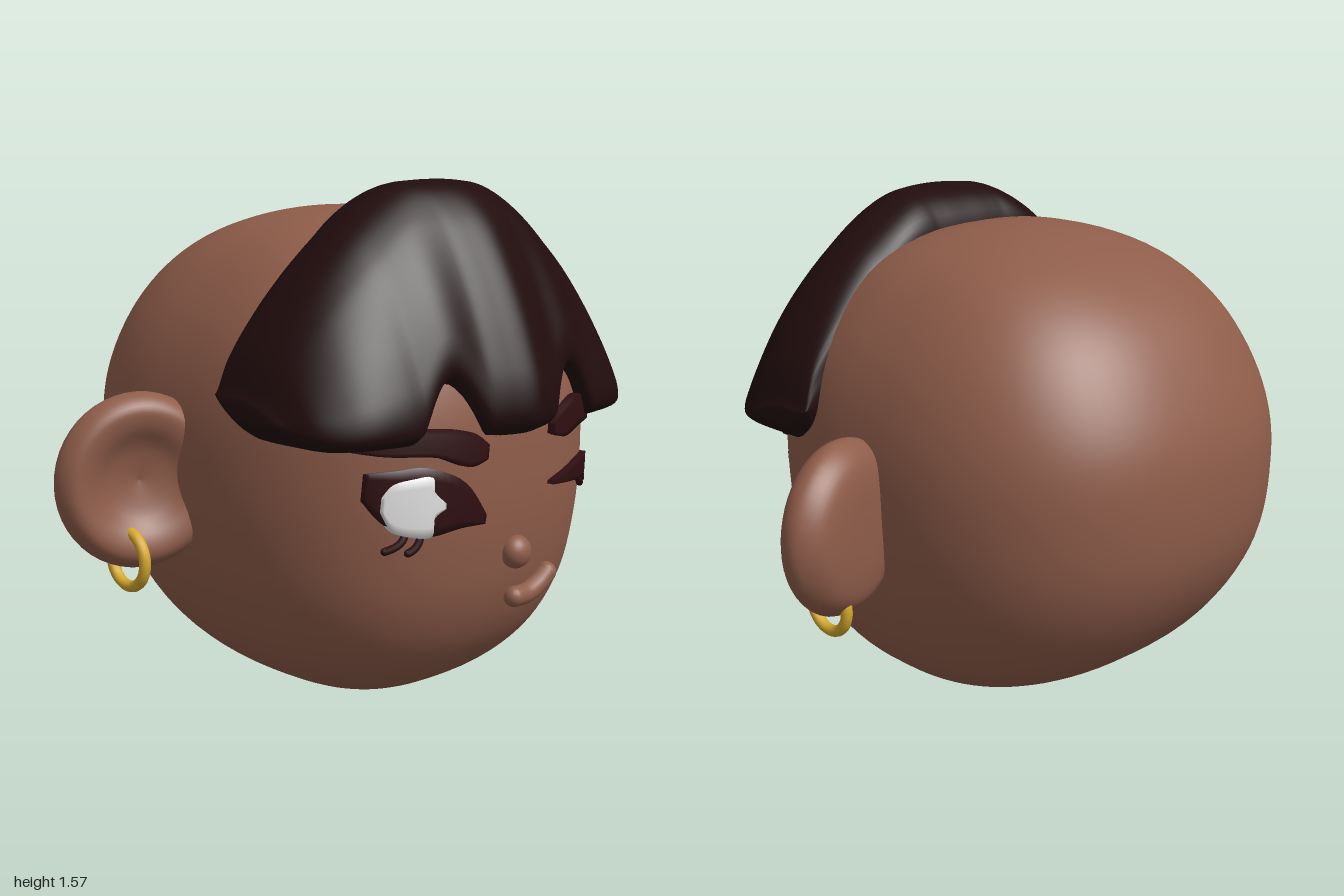
import * as THREE from 'three';

const mat = (name, color) => {
  const m = new THREE.MeshStandardMaterial({ color });
  m.name = name;
  return m;
};
const V3 = (x, y, z) => new THREE.Vector3(x, y, z);

// Skin over rows of points; closed rows wrap round.
function loft(rows, closed) {
  const n = rows[0].length, idx = [];
  for (let i = 0; i < rows.length - 1; i++) {
    for (let j = 0; j < (closed ? n : n - 1); j++) {
      const k = (j + 1) % n, a = i * n + j, b = a + n, c = i * n + k, d = c + n;
      idx.push(a, b, c, c, b, d);
    }
  }
  const g = new THREE.BufferGeometry();
  g.setAttribute('position', new THREE.Float32BufferAttribute(rows.flat().flatMap((p) => [p.x, p.y, p.z]), 3));
  g.setIndex(idx);
  g.computeVertexNormals();
  return g;
}

// Head: half width, front z and back z at every 15 degrees from chin to crown.
const HALF_H = 0.745, POWER = 2.5;
const headCurve = new THREE.CatmullRomCurve3([
  [0, 0.13, 0.13], [0.215, 0.305, -0.06], [0.39, 0.455, -0.305], [0.52, 0.578, -0.51],
  [0.605, 0.655, -0.655], [0.652, 0.69, -0.75], [0.672, 0.7, -0.78], [0.664, 0.69, -0.767],
  [0.615, 0.63, -0.695], [0.522, 0.52, -0.585], [0.395, 0.37, -0.425], [0.215, 0.18, -0.225], [0, -0.02, -0.02],
].map((p) => V3(...p)), false, 'catmullrom');

function headSection(t) {
  const p = headCurve.getPoint(t);
  return { w: Math.max(p.x, 0), zc: (p.y + p.z) / 2, d: (p.y - p.z) / 2, y: HALF_H * (1 - Math.cos(t * Math.PI)) };
}

function headGeometry() {
  const rows = [], pw = (v) => Math.sign(v) * Math.abs(v) ** (2 / POWER);
  for (let i = 0; i <= 60; i++) {
    const s = headSection(i / 60), row = [];
    for (let j = 0; j < 80; j++) {
      const a = (j / 80) * Math.PI * 2;
      row.push(V3(s.w * pw(Math.cos(a)), s.y, s.zc + s.d * pw(Math.sin(a))));
    }
    rows.push(row);
  }
  return loft(rows, true);
}

// Front surface of the head at x, y
function faceZ(x, y) {
  const s = headSection(Math.acos(1 - y / HALF_H) / Math.PI);
  return s.zc + s.d * Math.max(0, 1 - (Math.abs(x) / s.w) ** POWER) ** (1 / POWER);
}

// Raised patch draped on the face between a lower and an upper edge (both run towards +x).
function facePatch(lower, upper, lift) {
  const curve = (pts) => new THREE.SplineCurve(pts.map((p) => new THREE.Vector2(...p)));
  const lo = curve(lower), up = curve(upper), rows = [], nu = 20, nv = 6;
  for (let i = -1; i <= nu + 1; i++) {
    const u = THREE.MathUtils.clamp(i / nu, 0, 1), a = lo.getPoint(u), b = up.getPoint(u), row = [];
    for (let j = -1; j <= nv + 1; j++) {
      const p = a.clone().lerp(b, THREE.MathUtils.clamp(j / nv, 0, 1));
      const rim = i < 0 || j < 0 || i > nu || j > nv;
      row.push(V3(p.x, p.y, faceZ(p.x, p.y) + (rim ? -0.01 : lift)));
    }
    rows.push(row);
  }
  return loft(rows, false);
}

// Hair: upright slices from left to right, each a rounded side profile with a scalloped fringe.
function hairGeometry() {
  const half = [[0.684, 0.99, 0.46], [0.643, 1.115, 0.56], [0.555, 1.25, 0.64], [0.435, 1.38, 0.68],
    [0.3, 1.487, 0.695], [0.18, 1.55, 0.715], [0.09, 1.563, 0.75]];
  const ribs = new THREE.CatmullRomCurve3(
    [...half, [0, 1.566, 0.775], ...half.map(([x, y, z]) => [-x, y, z]).reverse()].map((p) => V3(...p)));
  const profile = new THREE.CatmullRomCurve3([
    [0.12, 0], [0.03, 0.04], [-0.01, 0.15], [-0.02, 0.4], [-0.005, 0.65], [0.03, 0.86], [0.13, 0.96], [0.32, 1],
    [0.47, 0.965], [0.61, 0.865], [0.7, 0.76], [0.82, 0.57], [0.925, 0.36], [0.99, 0.18], [0.99, 0.06],
    [0.9, 0], [0.5, -0.02],
  ].map(([z, y]) => V3(0, y, z)), true).getPoints(68).slice(0, -1);
  const notch = (x, c) => (Math.abs(x - c) < 0.115 ? Math.cos(((x - c) / 0.115) * Math.PI / 2) ** 1.1 : 0);
  const slice = (r, x, shrink) => {
    const k = notch(r.x, -0.26) + notch(r.x, 0.25), front = r.z - 0.015 * k;
    const bottom = 0.86 + 0.155 * k + 0.05 * Math.max(0, (Math.abs(r.x) - 0.58) / 0.1) ** 2;
    const mid = V3(x, (bottom + r.y) / 2, (0.19 + front) / 2);
    return profile.map((p) => {
      const z = 0.19 + p.z * (front - 0.19);
      const corner = 0.07 * THREE.MathUtils.clamp(1 - (z - 0.18) / 0.13, 0, 1) ** 2 * (1 - p.y);
      return V3(x, bottom + p.y * (r.y - bottom) + corner, z).lerp(mid, 1 - shrink);
    });
  };
  const rows = [], first = ribs.getPoint(0), last = ribs.getPoint(1);
  rows.push(slice(first, 0.694, 0), slice(first, 0.693, 0.6), slice(first, 0.69, 0.88));
  for (let i = 0; i <= 100; i++) {
    const r = ribs.getPoint(i / 100);
    rows.push(slice(r, r.x, 1));
  }
  rows.push(slice(last, -0.69, 0.88), slice(last, -0.693, 0.6), slice(last, -0.694, 0));
  return loft(rows, true);
}

export function createModel() {
  const model = new THREE.Group();
  model.name = 'head';
  const skin = mat('skin', 0x8f5d4a), hair = mat('hair', 0x210c0d), lash = mat('browAndLash', 0x2e0e10);
  const white = mat('eyeWhite', 0xe6e6e6), gold = mat('gold', 0xd4a72c);
  const add = (name, geometry, material, parent = model) => {
    const m = new THREE.Mesh(geometry, material);
    m.name = name;
    parent.add(m);
    return m;
  };

  add('skull', headGeometry(), skin);
  add('hair', hairGeometry(), hair);

  // Ears: thick, shallow dished discs swept back, each with a hoop
  const earProfile = new THREE.SplineCurve([
    [0, -0.08], [0.12, -0.077], [0.2, -0.058], [0.243, -0.005], [0.238, 0.04], [0.205, 0.072],
    [0.155, 0.066], [0.09, 0.03], [0, 0.01],
  ].map((p) => new THREE.Vector2(...p))).getPoints(40);
  earProfile.forEach((p) => { p.x = Math.max(p.x, 0); });
  const earGeo = new THREE.LatheGeometry(earProfile, 48).rotateX(Math.PI / 2).scale(1, 1.04, 1);
  const hoopGeo = new THREE.TorusGeometry(0.08, 0.017, 12, 40).rotateY(Math.PI / 2);
  for (const [side, s] of [['left', 1], ['right', -1]]) {
    const ear = add(side + 'Ear', earGeo, skin);
    ear.position.set(s * 0.758, 0.717, -0.08);
    ear.rotation.y = s * 0.33;
    add(side + 'Earring', hoopGeo, gold).position.set(s * 0.812, 0.495, -0.062);
  }

  // Nose and smirk
  const nose = add('nose', new THREE.SphereGeometry(0.049, 24, 16), skin);
  nose.scale.z = 0.85;
  nose.position.set(0, 0.511, 0.695);
  const mouth = new THREE.Group();
  mouth.name = 'mouth';
  model.add(mouth);
  const lipPath = new THREE.CatmullRomCurve3([[0.025, 0.367], [0.08, 0.367], [0.13, 0.387], [0.168, 0.415]]
    .map(([x, y]) => V3(x, y, faceZ(x, y) + 0.018)));
  add('lips', new THREE.TubeGeometry(lipPath, 24, 0.031, 14), skin, mouth);
  for (const t of [0, 1]) {
    add('lipCorner', new THREE.SphereGeometry(0.031, 16, 12), skin, mouth).position.copy(lipPath.getPoint(t));
  }

  // Eyebrows
  add('rightEyebrow', facePatch(
    [[-0.59, 0.865], [-0.46, 0.835], [-0.32, 0.825], [-0.22, 0.79], [-0.155, 0.805]],
    [[-0.58, 0.885], [-0.46, 0.89], [-0.32, 0.9], [-0.21, 0.885], [-0.15, 0.845]], 0.025), lash);
  add('leftEyebrow', facePatch(
    [[0.135, 0.84], [0.2, 0.825], [0.3, 0.845], [0.42, 0.845], [0.54, 0.815]],
    [[0.14, 0.87], [0.2, 0.91], [0.3, 0.935], [0.42, 0.905], [0.55, 0.84]], 0.025), lash);

  // Open eye: dark lid and iris with the white laid on top
  add('rightEye', facePatch(
    [[-0.482, 0.71], [-0.43, 0.64], [-0.34, 0.602], [-0.23, 0.617], [-0.145, 0.618]],
    [[-0.478, 0.785], [-0.41, 0.792], [-0.33, 0.795], [-0.22, 0.745], [-0.142, 0.645]], 0.012), lash);
  add('rightEyeWhite', facePatch(
    [[-0.448, 0.68], [-0.42, 0.625], [-0.37, 0.605], [-0.322, 0.605], [-0.318, 0.655], [-0.286, 0.68]],
    [[-0.446, 0.72], [-0.42, 0.755], [-0.37, 0.768], [-0.325, 0.77], [-0.32, 0.73], [-0.286, 0.695]], 0.02), white);

  // Winking eye
  add('leftClosedEye', facePatch(
    [[0.14, 0.69], [0.24, 0.682], [0.33, 0.676], [0.42, 0.674], [0.475, 0.685]],
    [[0.142, 0.7], [0.24, 0.722], [0.33, 0.738], [0.42, 0.738], [0.478, 0.725]], 0.022), lash);

  // Lower lashes: root and tip
  for (const [x0, y0, x1, y1] of [[-0.38, 0.615, -0.43, 0.568], [-0.34, 0.61, -0.375, 0.56],
    [0.35, 0.685, 0.395, 0.645], [0.41, 0.685, 0.45, 0.642]]) {
    const path = new THREE.QuadraticBezierCurve3(V3(x0, y0, faceZ(x0, y0)),
      V3(x0 + (x1 - x0) * 0.2, y1 + 0.015, faceZ(x0, y1) + 0.012), V3(x1, y1, faceZ(x1, y1) + 0.01));
    add('eyelash', new THREE.TubeGeometry(path, 8, 0.011, 8), lash);
    add('eyelashTip', new THREE.SphereGeometry(0.011, 10, 8), lash).position.copy(path.getPoint(1));
  }
  return model;
}
